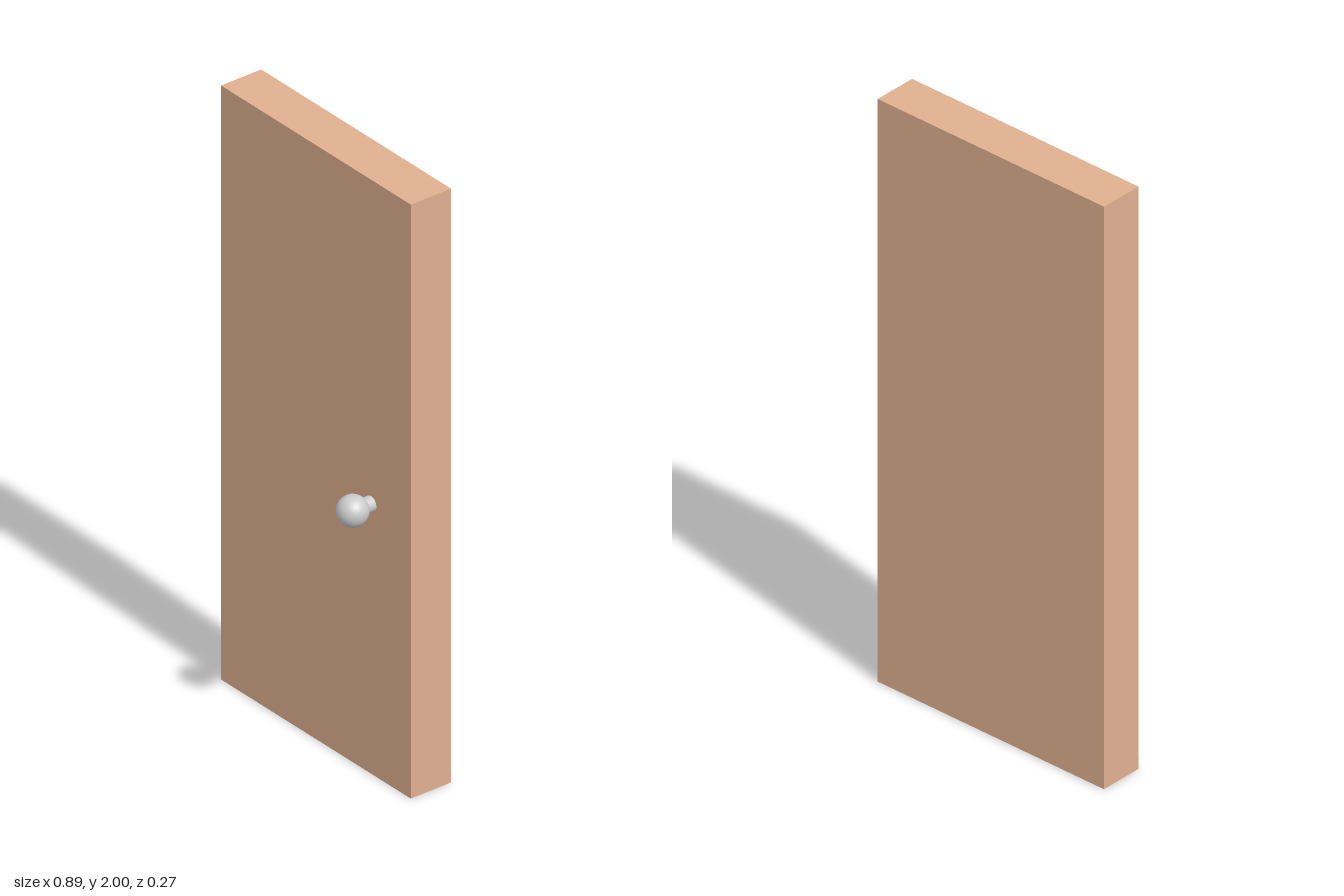
import * as THREE from 'three';

export function createModel() {
  const group = new THREE.Group();
  const wood = new THREE.MeshStandardMaterial({ color: 0xe0b090 });
  const metal = new THREE.MeshStandardMaterial({ color: 0xcccccc, flatShading: true });

  const add = (name, geometry, material, x, y, z) => {
    const mesh = new THREE.Mesh(geometry, material);
    mesh.name = name;
    mesh.position.set(x, y, z);
    group.add(mesh);
    return mesh;
  };

  // Door slab
  const front = 0.015, back = -0.135;
  add('doorPanel', new THREE.BoxGeometry(0.888, 2, front - back), wood, 0, 1, (front + back) / 2);

  // Round knob on a short stem, on the front only
  const knobX = 0.258, knobY = 0.91, knobZ = 0.084;
  const stemLength = knobZ - front;
  const stem = new THREE.CylinderGeometry(0.025, 0.025, stemLength, 32).rotateX(Math.PI / 2);
  add('knobStem', stem, metal, knobX, knobY, front + stemLength / 2);
  add('knob', new THREE.IcosahedronGeometry(0.05, 7), metal, knobX, knobY, knobZ);

  return group;
}
